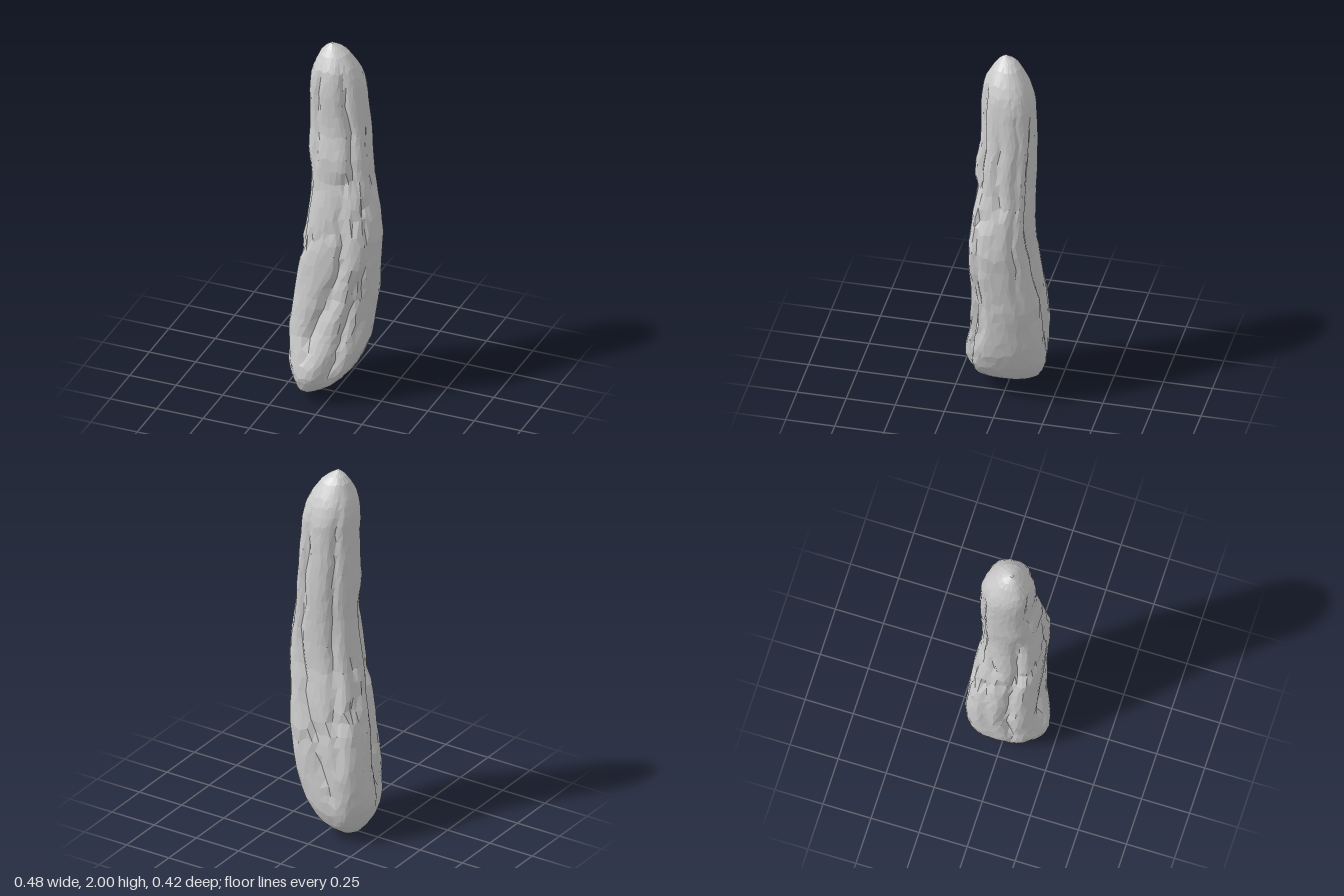
import * as THREE from 'three';

// Body extents by height: y, left x, right x, back z, front z
const PROFILE = [
  [0.005, -0.14, -0.11, -0.03, 0.03], [0.025, -0.157, -0.072, -0.09, 0.1],
  [0.05, -0.175, -0.03, -0.13, 0.145], [0.1, -0.202, 0.04, -0.172, 0.193],
  [0.15, -0.222, 0.087, -0.19, 0.21], [0.2, -0.236, 0.122, -0.2, 0.214],
  [0.3, -0.244, 0.163, -0.204, 0.194], [0.4, -0.243, 0.184, -0.208, 0.172],
  [0.6, -0.222, 0.213, -0.202, 0.16], [0.8, -0.184, 0.23, -0.18, 0.165],
  [0.95, -0.154, 0.242, -0.162, 0.161], [1.1, -0.133, 0.226, -0.159, 0.148],
  [1.22, -0.122, 0.2, -0.162, 0.13], [1.27, -0.122, 0.194, -0.164, 0.125],
  [1.4, -0.13, 0.183, -0.168, 0.128], [1.55, -0.128, 0.171, -0.168, 0.109],
  [1.75, -0.127, 0.149, -0.158, 0.113], [1.82, -0.122, 0.135, -0.142, 0.108],
  [1.88, -0.104, 0.108, -0.114, 0.096], [1.95, -0.074, 0.061, -0.072, 0.054],
  [1.985, -0.044, 0.018, -0.038, 0.026], [2.0, -0.022, -0.008, -0.008, 0.008],
];

// Lengthwise furrows: width, depth, then a path of [y, angle from +x to the front]
const FURROWS = [
  [11, 0.2, [[0.2, 104], [0.5, 92], [0.75, 74], [1.25, 78]]],
  [10, 0.15, [[0.2, 58], [0.8, 44]]],
  [10, 0.1, [[0.35, 30], [1.2, 36]]],
  [12, 0.18, [[1.22, 46], [1.92, 58]]],
  [14, 0.22, [[0.08, 168], [0.7, 160], [1.35, 152]]],
  [10, 0.12, [[1.3, 122], [1.95, 112]]],
  [14, 0.2, [[0.1, 256], [0.4, 266], [0.75, 281], [1.2, 297], [1.9, 286]]],
  [11, 0.13, [[0.35, 245], [0.7, 241], [1.2, 230], [1.9, 225]]],
  [10, 0.11, [[0.15, 188], [0.8, 199], [1.1, 200]]],
  [10, 0.1, [[0.4, 356], [1.2, 2], [1.8, 10]]],
  [10, 0.08, [[0.6, 326], [1.8, 332]]],
];

// Broad swells and hollows: centre y, half height, angle, half width, amount
const LOBES = [
  [0.92, 0.3, 45, 26, 0.09], [0.4, 0.35, 228, 24, 0.08],
  [0.15, 0.2, 135, 24, -0.1], [0.18, 0.13, 60, 18, -0.14],
  [0.4, 0.35, 172, 14, -0.05], [1.5, 0.4, 230, 28, -0.07],
  [1.85, 0.25, 45, 30, -0.07], [1.37, 0.09, 72, 18, 0.06],
  [1.252, 0.03, 66, 17, -0.14], [0.5, 0.35, 298, 20, 0.06],
];

// Interpolates a row of numbers along its first entry
function sample(rows, y) {
  let i = 0;
  while (i < rows.length - 2 && y > rows[i + 1][0]) i++;
  const a = rows[i], b = rows[i + 1];
  const t = THREE.MathUtils.clamp((y - a[0]) / (b[0] - a[0]), 0, 1);
  return a.map((v, k) => v + (b[k] - v) * t);
}

function angleGap(a, b) {
  return ((a - b + 540) % 360) - 180;
}

// Seeded noise between -0.5 and 0.5
let seed = 7;
function noise() {
  seed = (seed * 16807) % 2147483647;
  return seed / 2147483647 - 0.5;
}

// Radial scale of the skin at a given angle and height
function relief(deg, y) {
  let s = 1.02;
  for (const [width, depth, path] of FURROWS) {
    const y0 = path[0][0], y1 = path[path.length - 1][0];
    const t = (y - y0) / (y1 - y0);
    if (t <= 0 || t >= 1) continue;
    const angle = sample(path, y)[1] + 2 * Math.sin(y * 19 + y0);
    const d = Math.abs(angleGap(deg, angle)) / width;
    // Sharp valley with soft shoulders, fading out at both ends
    s -= depth * Math.min(1, 6 * Math.min(t, 1 - t)) * Math.exp(-1.4 * d ** 1.3);
  }
  for (const [yc, height, angle, width, amount] of LOBES) {
    const d = angleGap(deg, angle) / width, h = (y - yc) / height;
    s += amount * Math.exp(-d * d - h * h);
  }
  return s;
}

function bodyGeometry(rows = 38, sides = 44) {
  const pos = [], index = [];
  const power = 2 / 2.3;
  const soft = (v) => Math.sign(v) * Math.pow(Math.abs(v), power);
  for (let i = 0; i <= rows; i++) {
    const t = i / rows;
    // Rows gather towards the rounded ends
    const ring = 0.005 + 1.995 * (0.45 * t + 0.55 * (1 - Math.cos(Math.PI * t)) / 2);
    // Vertices wander along the skin, less so near the tips
    const loose = 0.035 * Math.min(1, 6 * Math.min(t, 1 - t));
    for (let j = 0; j < sides; j++) {
      const y = ring + loose * noise();
      const [, xl, xr, zb, zf] = sample(PROFILE, y);
      const deg = ((j + (i % 2) * 0.5 + 0.5 * noise() + 1) / sides) * 360;
      const a = THREE.MathUtils.degToRad(deg);
      const r = relief(deg, y) + 0.02 * noise();
      pos.push(
        (xl + xr) / 2 + soft(Math.cos(a)) * r * (xr - xl) / 2,
        y,
        (zb + zf) / 2 + soft(Math.sin(a)) * r * (zf - zb) / 2
      );
    }
  }
  for (let i = 0; i < rows; i++) {
    for (let j = 0; j < sides; j++) {
      const k = (j + 1) % sides;
      const a = i * sides + j, b = i * sides + k;
      const c = a + sides, d = b + sides;
      if (i % 2) index.push(a, d, b, a, c, d);
      else index.push(a, c, b, b, c, d);
    }
  }
  // Close both tips
  const low = pos.length / 3, high = low + 1, top = rows * sides;
  pos.push(-0.125, 0, 0, -0.015, 2, 0);
  for (let j = 0; j < sides; j++) {
    const k = (j + 1) % sides;
    index.push(low, j, k, high, top + k, top + j);
  }
  const geo = new THREE.BufferGeometry();
  geo.setAttribute('position', new THREE.Float32BufferAttribute(pos, 3));
  geo.setIndex(index);
  geo.computeVertexNormals();
  return geo;
}

export function createModel() {
  seed = 7;
  const group = new THREE.Group();
  group.name = 'furrowedPod';
  const material = new THREE.MeshStandardMaterial({ color: 0xcccccc, flatShading: true });
  const body = new THREE.Mesh(bodyGeometry(), material);
  body.name = 'body';
  group.add(body);
  return group;
}
